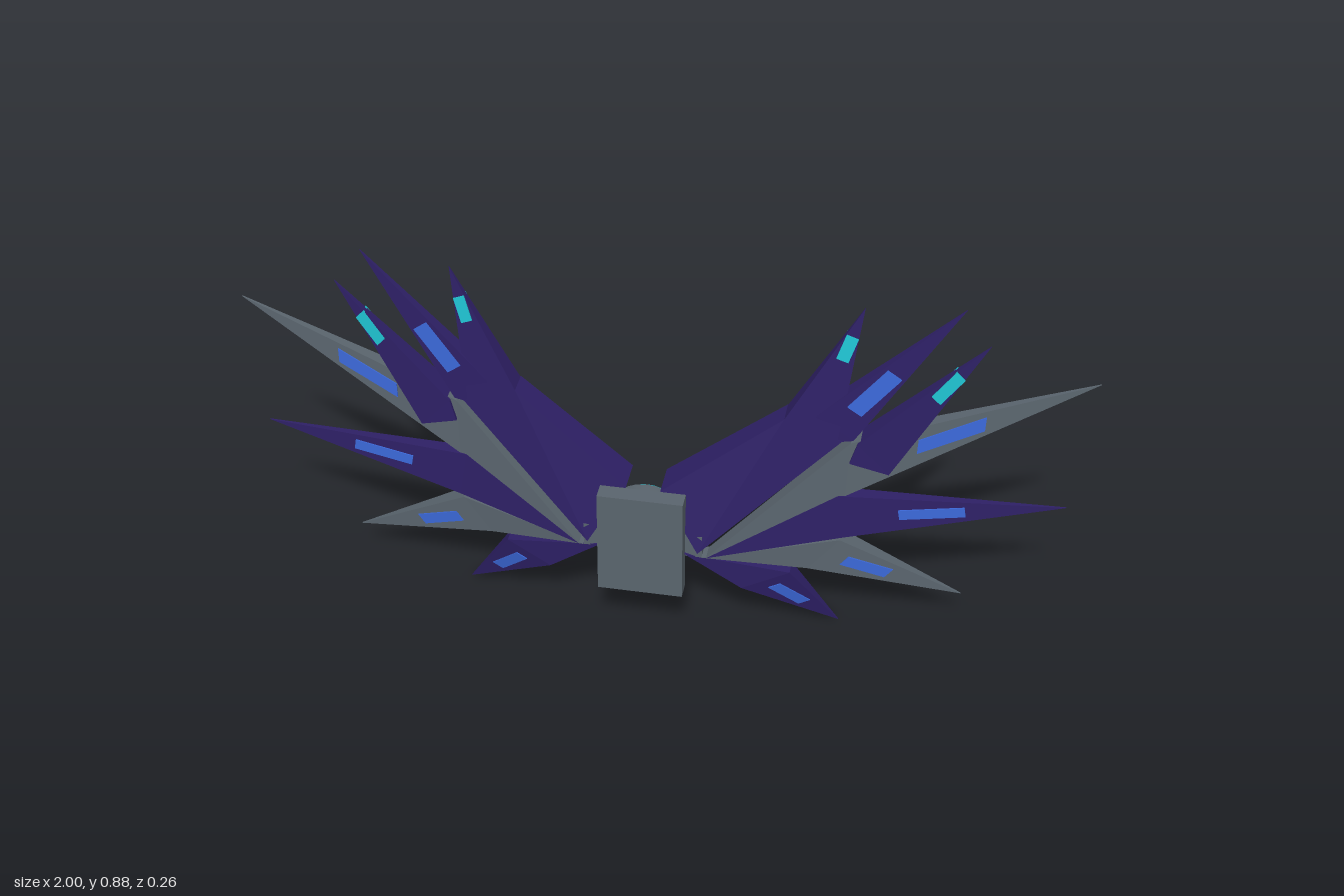
import * as THREE from 'three';

const mat = (name, color) => {
  const m = new THREE.MeshStandardMaterial({ color });
  m.name = name;
  return m;
};

// Closed solid from a four-cornered outline [x, y, zFront, zBack], ordered root, lower, tip, upper
function slab(points, side) {
  const f = points.map(p => [p[0] * side, p[1], p[2]]);
  const b = points.map(p => [p[0] * side, p[1], p[3]]);
  const tris = [
    [f[0], f[1], f[3]], [f[1], f[2], f[3]],
    [b[0], b[3], b[1]], [b[1], b[3], b[2]],
  ];
  for (let i = 0; i < 4; i++) {
    const j = (i + 1) % 4;
    tris.push([f[i], b[i], b[j]], [f[i], b[j], f[j]]);
  }
  const pos = tris.flatMap(t => (side > 0 ? t : [t[0], t[2], t[1]]).flat());
  const g = new THREE.BufferGeometry();
  g.setAttribute('position', new THREE.Float32BufferAttribute(pos, 3));
  g.computeVertexNormals();
  return g;
}

const mix = (a, b, t) => a.map((v, i) => v + (b[i] - v) * t);

// The wing sweeps back along one sloping plane; proud lifts a part off both its faces
function onWing([x, y], thick, proud = 0) {
  const z = 0.11 - 0.24 * x - 0.05 * (y - 0.27);
  return [x, y, z + proud, z - thick - proud];
}

export function createModel() {
  const purple = mat('deep purple', 0x2e2066);
  const grey = mat('steel grey', 0x5a656e);
  const blue = mat('bright blue', 0x3b68d8);
  const cyan = mat('cyan', 0x1fc4d2);

  const root = new THREE.Group();
  root.name = 'wingPack';

  function add(parent, geo, m, name, x = 0, y = 0, z = 0) {
    const mesh = new THREE.Mesh(geo, m);
    mesh.name = name;
    mesh.position.set(x, y, z);
    parent.add(mesh);
  }

  // Tapered blade with a strip on each face; strip = [start, end, width], start and end as shares of its length
  function blade(wing, side, name, m, { base, lower, tip, upper, thick, proud, strip, glow }) {
    const [x, y, z] = tip;
    const L = onWing(lower, thick, proud);
    const U = onWing(upper, thick, proud);
    const T = [x, y, z, z - 0.003];
    // Feathers start at the joint; the upper blades start inside the wing
    const R = base[0] < 0.2 ? [...base, 0.1, 0.06] : onWing(base, thick, proud);
    add(wing, slab([R, L, T, U], side), m, name);

    const [from, to, width] = strip;
    const span = Math.hypot(U[0] - L[0], U[1] - L[1]);
    const at = (f, edge) => mix(mix(L, U, 0.5 + edge * width / (2 * span * (1 - f))), T, f);
    const outline = [at(from, -1), at(to, -1), at(to, 1), at(from, 1)];
    for (const k of [2, 3]) {
      const plate = outline.map(p => [p[0], p[1], p[k] + 0.003, p[k] - 0.003]);
      add(wing, slab(plate, side), glow, name + 'Strip');
    }
  }

  // Both wings, mirrored
  for (const side of [1, -1]) {
    const wing = new THREE.Group();
    wing.name = side > 0 ? 'leftWing' : 'rightWing';
    root.add(wing);

    // Broad panel that carries the two top blades
    add(wing, slab([
      [0.04, 0.43, 0.085, 0], [0.13, 0.27, 0.1, 0.06],
      onWing([0.44, 0.555], 0.05), onWing([0.31, 0.62], 0.06),
    ], side), purple, 'upperWingPanel');

    blade(wing, side, 'innerTopBlade', purple, {
      base: [0.3, 0.57], lower: [0.43, 0.56], tip: [0.47, 0.89, -0.054], upper: [0.31, 0.62],
      thick: 0.056, proud: 0, strip: [0.58, 0.77, 0.03], glow: cyan });
    blade(wing, side, 'outerTopBlade', purple, {
      base: [0.36, 0.55], lower: [0.465, 0.555], tip: [0.69, 0.885, -0.094], upper: [0.38, 0.625],
      thick: 0.05, proud: -0.002, strip: [0.15, 0.46, 0.042], glow: blue });
    blade(wing, side, 'upperGreyFeather', grey, {
      base: [0.15, 0.26], lower: [0.455, 0.405], tip: [1, 0.705, -0.124], upper: [0.46, 0.55],
      thick: 0.046, proud: 0, strip: [0.28, 0.55, 0.036], glow: blue });
    blade(wing, side, 'sideBlade', purple, {
      base: [0.46, 0.5], lower: [0.55, 0.465], tip: [0.75, 0.81, -0.072], upper: [0.475, 0.55],
      thick: 0.046, proud: 0.008, strip: [0.54, 0.75, 0.03], glow: cyan });
    blade(wing, side, 'middleFeather', purple, {
      base: [0.15, 0.26], lower: [0.46, 0.29], tip: [0.96, 0.367, -0.104], upper: [0.44, 0.407],
      thick: 0.03, proud: 0.003, strip: [0.255, 0.55, 0.026], glow: blue });
    blade(wing, side, 'lowerGreyFeather', grey, {
      base: [0.14, 0.26], lower: [0.38, 0.205], tip: [0.74, 0.1, -0.074], upper: [0.45, 0.283],
      thick: 0.036, proud: 0.004, strip: [0.15, 0.47, 0.028], glow: blue });
    blade(wing, side, 'bottomFeather', purple, {
      base: [0.1, 0.265], lower: [0.23, 0.15], tip: [0.455, 0.005, -0.038], upper: [0.34, 0.19],
      thick: 0.042, proud: 0, strip: [0.12, 0.53, 0.028], glow: blue });

    // Joint between wing and hub
    add(wing, new THREE.BoxGeometry(0.08, 0.06, 0.04), grey, 'wingJoint', 0.1 * side, 0.285, 0.073);
  }

  // Mounting plate, hub and glowing core
  add(root, new THREE.BoxGeometry(0.2, 0.27, 0.042), grey, 'mountingPlate', 0, 0.295, 0.109);
  add(root, new THREE.CylinderGeometry(0.09, 0.09, 0.05, 24).rotateX(Math.PI / 2), grey, 'hub', 0, 0.32, 0.065);
  add(root, new THREE.SphereGeometry(0.06, 24, 16), blue, 'coreOrb', 0, 0.32, 0.027);
  add(root, new THREE.TorusGeometry(0.07, 0.01, 10, 32), cyan, 'coreRing', 0, 0.32, 0.03);

  return root;
}
